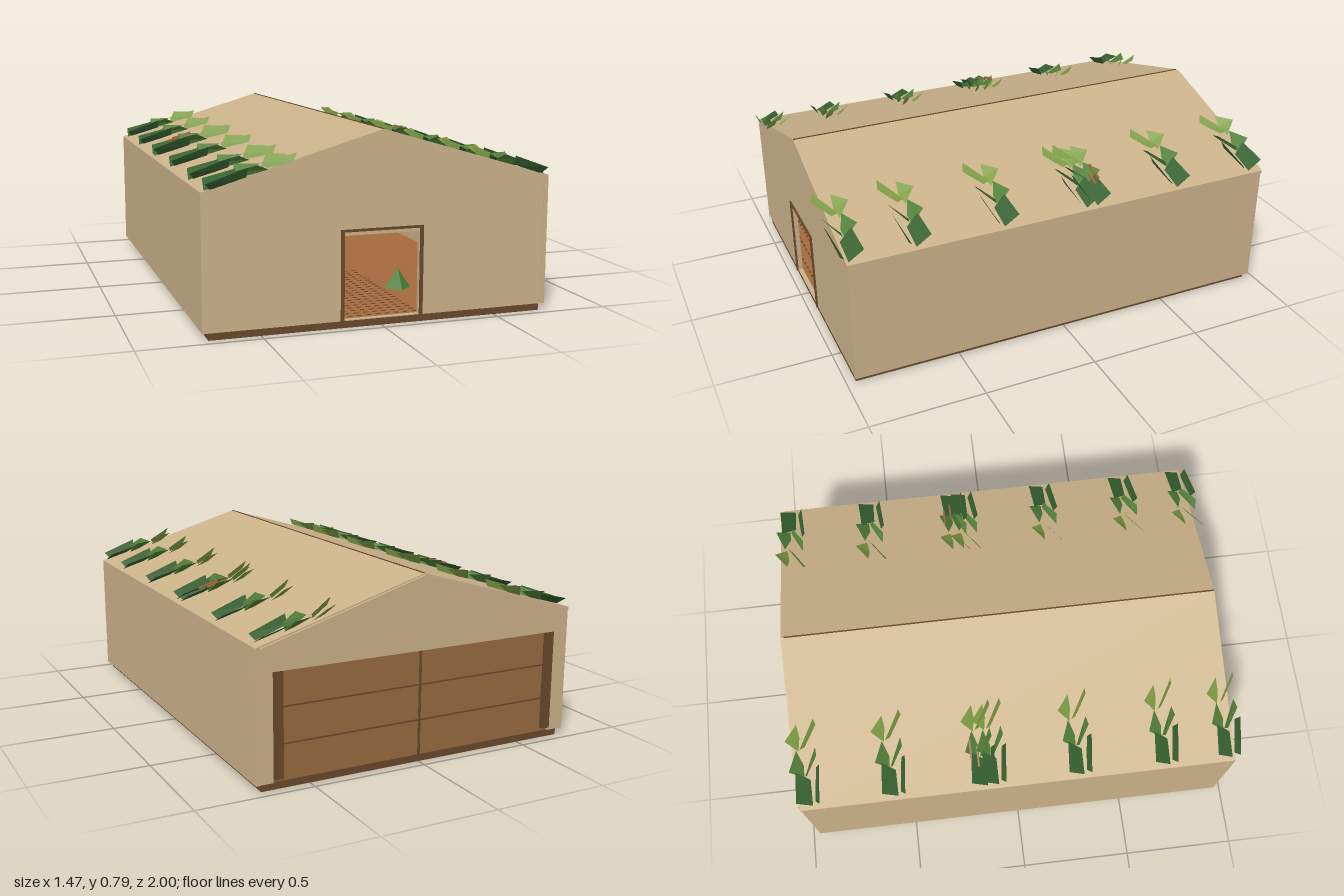
import * as THREE from 'three';
import { mergeGeometries } from 'three/addons/utils/BufferGeometryUtils.js';

const mat = (name, color, side = THREE.FrontSide) => {
  const m = new THREE.MeshStandardMaterial({ color, side, flatShading: true });
  m.name = name;
  return m;
};

export function createModel() {
  const model = new THREE.Group();
  model.name = 'hall';
  const tan = mat('tan wall', 0xcbb28a);
  const dark = mat('dark timber', 0x6a482b);
  const brown = mat('brown board', 0x996a40);
  const clay = mat('clay floor', 0xa5693c);
  const greens = [
    mat('dark leaf', 0x35602f, THREE.DoubleSide),
    mat('middle leaf', 0x52803a, THREE.DoubleSide),
    mat('light leaf', 0x7f9f45, THREE.DoubleSide),
  ];

  const add = (name, geo, material, parent = model) => {
    const mesh = new THREE.Mesh(geo, material);
    mesh.name = name;
    parent.add(mesh);
    return mesh;
  };
  // Box given by its limits on each axis
  const box = (name, x0, x1, y0, y1, z0, z1, material, parent = model) => {
    const geo = new THREE.BoxGeometry(x1 - x0, y1 - y0, z1 - z0);
    geo.translate((x0 + x1) / 2, (y0 + y1) / 2, (z0 + z1) / 2);
    return add(name, geo, material, parent);
  };
  // Outline in x, y pushed from z0 to z1
  const outline = (points) => new THREE.Shape(points.map(([x, y]) => new THREE.Vector2(x, y)));
  const prism = (name, shape, z0, z1, material) => {
    const geo = new THREE.ExtrudeGeometry(shape, { depth: z1 - z0, bevelEnabled: false });
    geo.translate(0, 0, z0);
    return add(name, geo, material);
  };
  const roofY = (x) => 0.792 - 0.2925 * Math.abs(x);

  // Base and inner floor with rows of small dots
  box('base', -0.71, 0.71, 0, 0.03, -0.955, 0.96, dark);
  box('floor', -0.71, 0.71, 0.03, 0.034, -0.94, 0.945, clay);
  const dots = [];
  for (let i = 0; i < 20; i++) {
    for (let j = 0; j < 20; j++) {
      const dot = new THREE.BoxGeometry(0.018, 0.002, 0.008);
      dot.translate(-0.6 + i * 0.04, 0.035, 0.2 + j * 0.038);
      dots.push(dot);
    }
  }
  add('floorDots', mergeGeometries(dots), dark);

  // Walls and roof
  const front = outline([[-0.715, 0.03], [0.715, 0.03], [0.715, 0.578], [0, 0.787], [-0.715, 0.578]]);
  front.holes.push(outline([[-0.16, 0.034], [-0.16, 0.375], [0.16, 0.375], [0.16, 0.034]]));
  prism('frontWall', front, 0.945, 0.965, tan);
  for (const s of [-1, 1]) {
    const [a, b] = s < 0 ? [-0.735, -0.715] : [0.715, 0.735];
    box('sideWall', a, b, 0.03, 0.572, -0.965, 0.967, tan);
  }
  prism('roof', outline([
    [-0.735, 0.565], [0, 0.78], [0.735, 0.565], [0.735, 0.577], [0, 0.792], [-0.735, 0.577],
  ]), -0.97, 0.967, tan);
  box('ridgeLine', -0.003, 0.003, 0.785, 0.794, -0.965, 0.966, dark);

  // Doorway frame
  for (const s of [-1, 1]) {
    box('doorJamb', s * 0.168 - 0.007, s * 0.168 + 0.007, 0.03, 0.4, 0.945, 0.972, dark);
  }
  box('doorLintel', -0.175, 0.175, 0.39, 0.4, 0.945, 0.972, dark);

  // Back end: gable, side strips, posts and boarded double gate
  prism('backGable', outline([
    [-0.715, 0.48], [0.715, 0.48], [0.715, 0.576], [0, 0.787], [-0.715, 0.576],
  ]), -0.98, -0.955, tan);
  box('gate', -0.66, 0.66, 0.03, 0.49, -0.953, -0.935, brown);
  for (const s of [-1, 1]) {
    box('backStrip', s * 0.69 - 0.03, s * 0.69 + 0.03, 0.03, 0.49, -0.962, -0.935, tan);
    box('gatePost', s * 0.64 - 0.018, s * 0.64 + 0.018, 0.045, 0.479, -0.975, -0.95, dark);
  }
  for (const y of [0.18, 0.33]) {
    box('gateSeam', -0.62, 0.62, y - 0.003, y + 0.003, -0.956, -0.932, dark);
  }
  box('gateMiddle', -0.005, 0.005, 0.03, 0.48, -0.957, -0.932, dark);

  // Inner stand and panel facing the doorway
  const stand = new THREE.Group();
  stand.name = 'innerStand';
  model.add(stand);
  for (const s of [-1, 1]) {
    box('standStrip', s * 0.028 - 0.007, s * 0.028 + 0.007, 0.034, 0.38, -0.934, -0.925, dark, stand);
    box('standFoot', s * 0.028 - 0.012, s * 0.028 + 0.012, 0.07, 0.11, -0.92, -0.9, tan, stand);
  }
  box('panel', -0.07, 0.07, 0.18, 0.34, -0.92, -0.9, dark, stand);
  box('panelPlate', -0.028, 0.028, 0.265, 0.303, -0.9, -0.896, tan, stand);
  box('panelNotch', -0.013, 0.013, 0.265, 0.29, -0.896, -0.893, dark, stand);
  box('panelInset', -0.028, 0.028, 0.215, 0.265, -0.9, -0.896, brown, stand);
  box('panelSlot', -0.005, 0.005, 0.23, 0.25, -0.896, -0.893, dark, stand);
  box('standTop', -0.016, 0.016, 0.11, 0.142, -0.92, -0.9, tan, stand);
  box('standBase', -0.016, 0.016, 0.034, 0.07, -0.92, -0.9, tan, stand);

  // Leaves as corners: x, height above the roof, z offset
  const leaves = [
    [0, [[0.71, 0.035, -0.058], [0.58, 0.03, -0.048], [0.614, -0.005, 0.02], [0.72, -0.005, 0.02]]],
    [0, [[0.72, 0.03, 0.042], [0.56, 0.04, 0.058], [0.56, 0.002, 0.04], [0.7, -0.003, 0.02]]],
    [1, [[0.58, 0.045, -0.074], [0.487, 0.02, -0.037], [0.55, 0, -0.012], [0.6, 0, -0.016]]],
    [1, [[0.6, 0.03, 0.0], [0.52, 0.035, 0.05], [0.475, 0.003, 0.044], [0.592, -0.003, -0.012]]],
    [2, [[0.45, 0.042, -0.08], [0.38, 0.022, -0.026], [0.43, 0, -0.02], [0.487, 0, -0.03]]],
    [2, [[0.487, 0.025, -0.022], [0.365, 0.032, 0.05], [0.38, 0.002, 0.056], [0.47, -0.002, 0]]],
  ];
  const quad = ([a, b, c, d]) => {
    const geo = new THREE.BufferGeometry();
    geo.setAttribute('position', new THREE.Float32BufferAttribute([a, b, c, a, c, d].flat(), 3));
    geo.computeVertexNormals();
    return geo;
  };
  for (const s of [-1, 1]) {
    for (const z of [0.945, 0.665, 0.28, -0.1, -0.15, -0.545, -0.92]) {
      const cluster = new THREE.Group();
      cluster.name = 'roofFoliage';
      model.add(cluster);
      for (const [tone, corners] of leaves) {
        const pts = corners.map(([x, h, dz]) => [s * x, roofY(x) + h, z + dz]);
        add('leaf', quad(pts), greens[tone], cluster);
      }
    }
    // Twigs in the doubled middle cluster
    for (const [x, z] of [[0.57, -0.2], [0.6, -0.17]]) {
      const twig = box('twig', -0.045, 0.045, -0.004, 0.004, -0.004, 0.004, clay);
      twig.position.set(s * x, roofY(x) + 0.035, z);
      twig.rotation.z = -s * 0.28;
    }
    // Plants standing inside, beside the doorway
    for (const [x, z, h] of [[0.24, 0.55, 0.09], [0.36, 0.66, 0.15]]) {
      const plant = add('innerPlant', new THREE.ConeGeometry(0.06, h, 4), greens[1]);
      plant.position.set(s * x, 0.034 + h / 2, z);
    }
  }
  return model;
}
